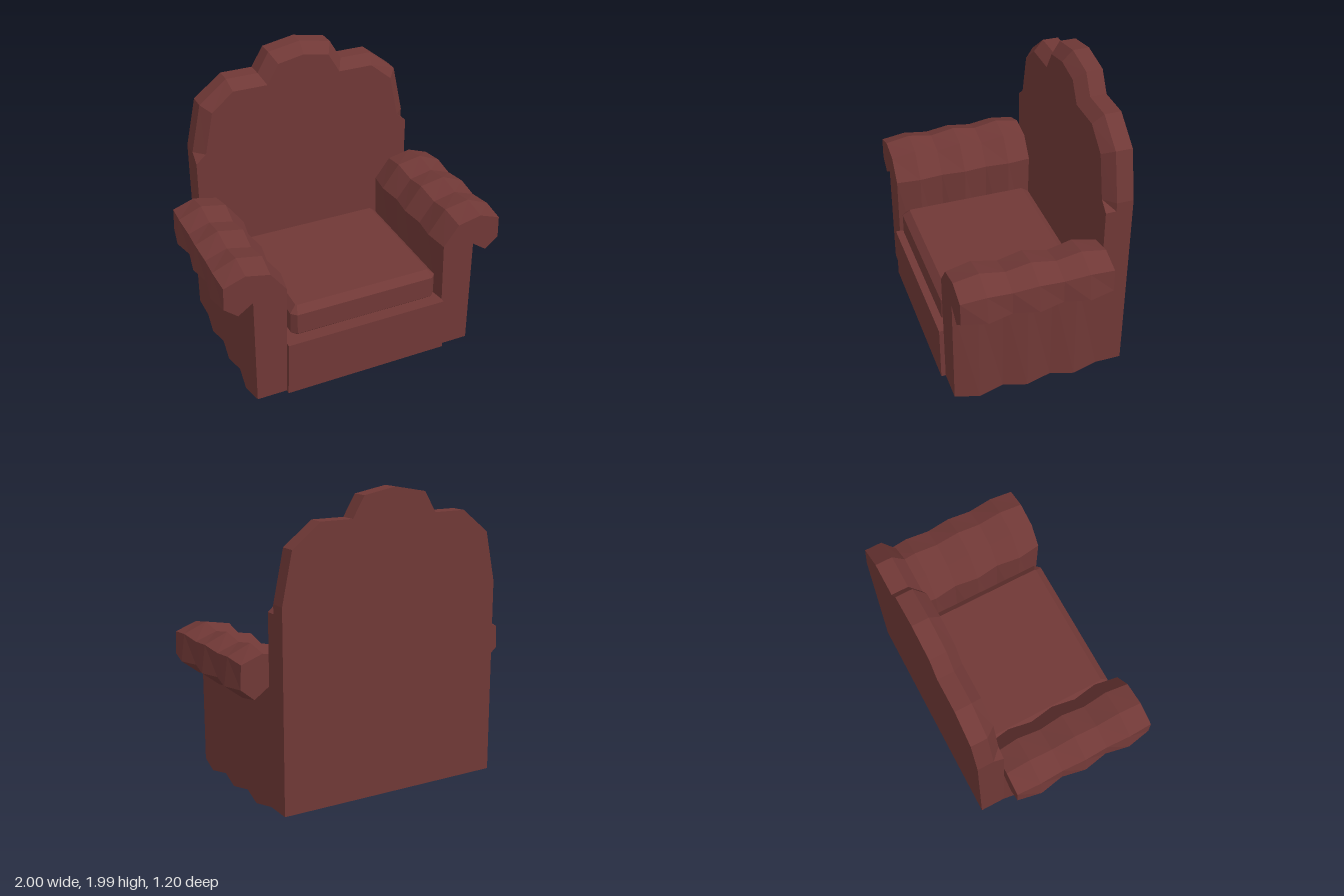
import * as THREE from 'three';

const material = new THREE.MeshStandardMaterial({ color: 0x703836, flatShading: true, roughness: 0.9 });

// Skin matching counter-clockwise rings [{ z, pts: [[x, y], ...] }] from low z to high z, with end caps.
function loft(rings) {
  const pos = [];
  const put = (ring, i) => pos.push(ring.pts[i][0], ring.pts[i][1], ring.z);
  const n = rings[0].pts.length;
  for (let k = 0; k < rings.length - 1; k++) {
    const a = rings[k], b = rings[k + 1];
    for (let i = 0; i < n; i++) {
      const j = (i + 1) % n;
      put(a, i); put(a, j); put(b, j);
      put(a, i); put(b, j); put(b, i);
    }
  }
  const cap = (ring, flip) => {
    const contour = ring.pts.map(([x, y]) => new THREE.Vector2(x, y));
    for (const [i, j, k] of THREE.ShapeUtils.triangulateShape(contour, [])) {
      put(ring, i); put(ring, flip ? k : j); put(ring, flip ? j : k);
    }
  };
  cap(rings[0], true);
  cap(rings[rings.length - 1], false);
  const geometry = new THREE.BufferGeometry();
  geometry.setAttribute('position', new THREE.Float32BufferAttribute(pos, 3));
  geometry.computeVertexNormals();
  return geometry;
}

const mirrored = (pts) => pts.map(([x, y]) => [-x, y]).reverse();

// Complete a right half, listed bottom to top and ending on the centre line.
const symmetric = (half) => [...half, ...mirrored(half.slice(0, -1))];

// Rectangle with cut corners.
function cutRect(x0, x1, y0, y1, c) {
  return [
    [x0 + c, y0], [x1 - c, y0], [x1, y0 + c], [x1, y1 - c],
    [x1 - c, y1], [x0 + c, y1], [x0, y1 - c], [x0, y0 + c],
  ];
}

export function createModel() {
  const chair = new THREE.Group();
  chair.name = 'armchair';
  const add = (name, geometry) => {
    const mesh = new THREE.Mesh(geometry, material);
    mesh.name = name;
    chair.add(mesh);
    return mesh;
  };

  // Scalloped backrest with a bevel round the upper front edge
  const outline = symmetric([
    [0.78, 0.03], [0.78, 1.27], [0.78, 1.33], [0.71, 1.66], [0.52, 1.81],
    [0.3, 1.81], [0.22, 1.945], [0, 1.985],
  ]);
  const inset = symmetric([
    [0.78, 0.03], [0.78, 1.27], [0.71, 1.33], [0.65, 1.62], [0.5, 1.745],
    [0.26, 1.745], [0.18, 1.88], [0, 1.915],
  ]);
  add('backrest', loft([
    { z: -0.6, pts: outline }, { z: -0.49, pts: outline }, { z: -0.42, pts: inset },
  ]));

  // Rolled arms, alternating between a slim and a full section
  const slim = [
    [0.575, 0.03], [0.78, 0.03], [0.78, 0.81], [0.88, 0.74], [0.97, 0.815],
    [0.965, 0.968], [0.82, 1.02], [0.66, 0.985], [0.555, 0.845],
  ];
  const full = [
    [0.535, 0], [0.8, 0], [0.79, 0.78], [0.88, 0.71], [1, 0.803],
    [0.975, 0.985], [0.82, 1.05], [0.65, 1.018], [0.53, 0.853],
  ];
  for (const side of ['left', 'right']) {
    const rings = [];
    for (let i = 0; i <= 6; i++) {
      const pts = i % 2 ? full : slim;
      rings.push({ z: -0.42 + i * 0.165, pts: side === 'left' ? pts : mirrored(pts) });
    }
    add(side + 'Arm', loft(rings));
  }

  // Seat base, slightly narrower at the top
  const base = symmetric([[0.575, 0.03], [0.565, 0.42], [0, 0.42]]);
  add('seatBase', loft([{ z: -0.45, pts: base }, { z: 0.6, pts: base }]));

  // Bevelled cushion, lofted upwards
  const body = cutRect(-0.52, 0.52, -0.56, 0.39, 0.035);
  const face = cutRect(-0.475, 0.475, -0.51, 0.34, 0.008);
  add('seatCushion', loft([
    { z: 0.42, pts: face }, { z: 0.465, pts: body },
    { z: 0.612, pts: body }, { z: 0.655, pts: face },
  ]).rotateX(-Math.PI / 2));

  return chair;
}
